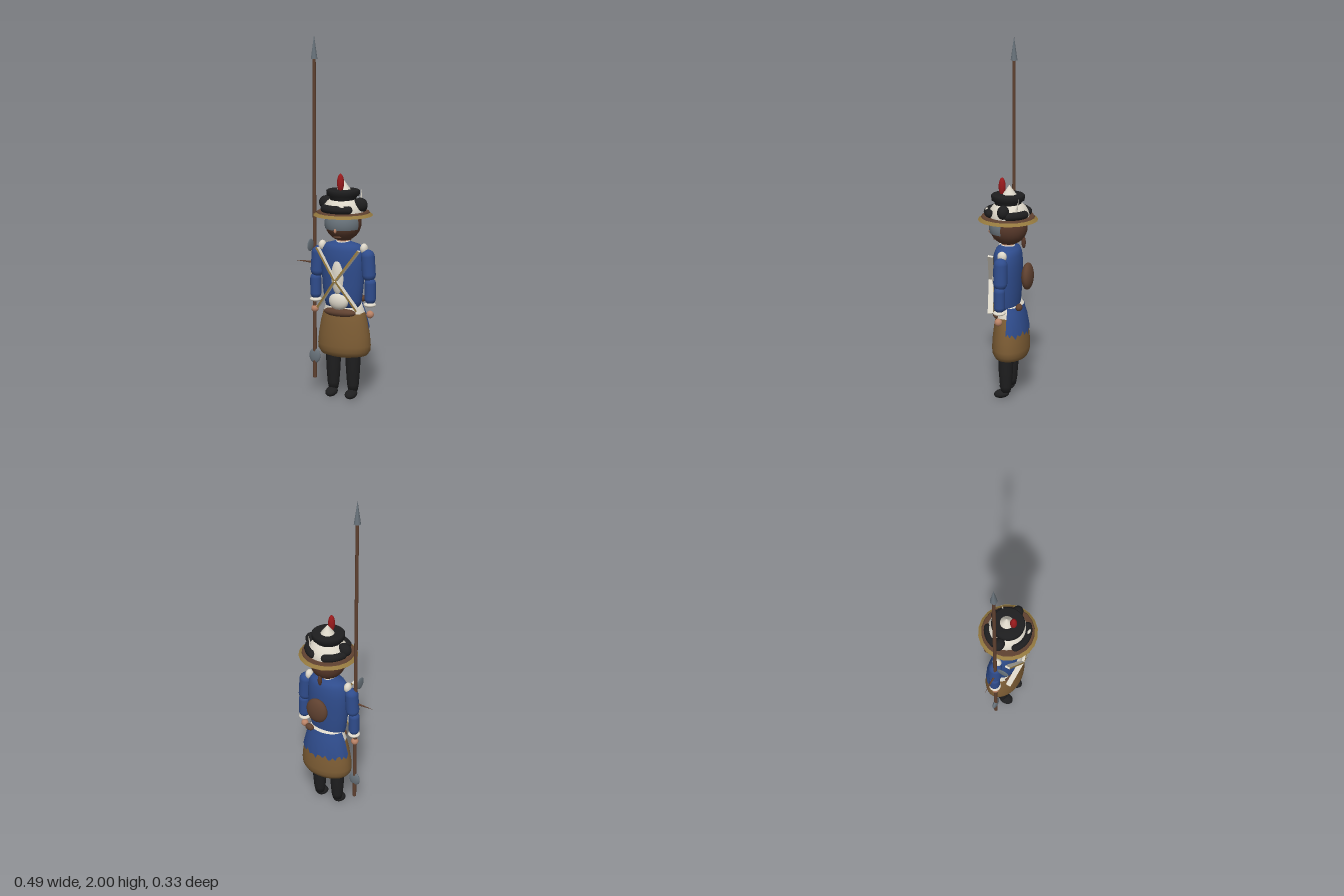
import * as THREE from 'three';

const mat = (name, color, side = THREE.FrontSide) => {
  const m = new THREE.MeshStandardMaterial({ color, side });
  m.name = name;
  return m;
};

export function createModel() {
  const blue = mat('coat blue', 0x2f4c8c, THREE.DoubleSide);
  const tan = mat('skirt tan', 0x7c5c34);
  const skin = mat('face brown', 0x553729);
  const black = mat('black', 0x1e1e1f);
  const white = mat('off white', 0xdcd6c8);
  const gold = mat('straw gold', 0x94793f, THREE.DoubleSide);
  const red = mat('plume red', 0x981a1c);
  const steel = mat('steel', 0x68727a);
  const wood = mat('wood brown', 0x5f4130);
  const peach = mat('hand peach', 0xb98266);

  const model = new THREE.Group();
  model.name = 'pikeman';
  const body = new THREE.Group();
  body.name = 'body';
  body.position.x = 0.042;
  model.add(body);

  // Helpers
  const add = (name, geo, material, x = 0, y = 0, z = 0, parent = body) => {
    const m = new THREE.Mesh(geo, material);
    m.name = name;
    m.position.set(x, y, z);
    parent.add(m);
    return m;
  };
  const blob = (name, material, x, y, z, rx, ry, rz, parent = body) =>
    add(name, new THREE.SphereGeometry(1, 24, 16).scale(rx, ry, rz), material, x, y, z, parent);
  const lathe = (pts, zScale = 1, seg = 32, start = 0, len = Math.PI * 2) =>
    new THREE.LatheGeometry(pts.map(p => new THREE.Vector2(p[0], p[1])), seg, start, len).scale(1, 1, zScale);

  // Legs, shoes, arms, mirrored
  const legProfile = [[0, 0.04], [0.026, 0.045], [0.033, 0.08], [0.04, 0.17], [0.043, 0.27], [0.043, 0.42], [0, 0.44]];
  const capsule = (r, h) => new THREE.CapsuleGeometry(r, h, 6, 18);
  for (const s of [-1, 1]) {
    add('leg', lathe(legProfile, 1, 20), black, s * 0.06, 0, -0.003);
    const shoe = blob('shoe', black, s * 0.06, 0.03, 0.022, 0.033, 0.024, 0.044);
    shoe.rotation.x = 0.2;
    const upper = add('upperArm', capsule(0.038, 0.1), blue, s * 0.153, 0.762, 0.002);
    upper.rotation.z = s * 0.07;
    add('forearm', capsule(0.031, 0.085), blue, s * 0.166, 0.622, 0.004);
    blob('cuff', white, s * 0.165, 0.545, 0.006, 0.034, 0.013, 0.034);
    blob('hand', peach, s * 0.168, 0.492, 0.01, 0.021, 0.021, 0.021);
    blob('epaulette', white, s * 0.126, 0.852, 0, 0.021, 0.029, 0.026);
  }

  // Skirt with a white waist
  const z0 = -0.018;
  add('skirt', lathe([[0, 0.245], [0.1, 0.24], [0.135, 0.25], [0.152, 0.275], [0.155, 0.305], [0.15, 0.36],
    [0.138, 0.43], [0.122, 0.49], [0.108, 0.512]], 0.66), tan, 0, 0, z0);
  add('waist', lathe([[0.122, 0.488], [0.112, 0.515], [0.1, 0.55], [0, 0.57]], 0.68), white, 0, 0, z0);

  // Coat tails wrapping the back, with a ragged hem
  const rows = [[0.146, 0.4], [0.14, 0.435], [0.126, 0.49], [0.113, 0.52], [0.102, 0.55]];
  const tails = lathe(rows, 0.68, 28, Math.PI * 0.52, Math.PI * 0.96);
  const tp = tails.attributes.position;
  for (let i = 0; i <= 28; i++) {
    tp.setY(i * rows.length, 0.4 + 0.014 * Math.sin(i * 2.3) + 0.008 * Math.sin(i * 0.9));
  }
  tails.computeVertexNormals();
  add('coatTails', tails, blue, 0, 0, z0);

  // Torso and collar
  add('torso', lathe([[0, 0.52], [0.1, 0.525], [0.11, 0.56], [0.12, 0.64], [0.126, 0.73], [0.126, 0.79],
    [0.119, 0.84], [0.1, 0.87], [0.05, 0.885], [0, 0.887]], 0.62), blue);
  add('neck', new THREE.CylinderGeometry(0.032, 0.035, 0.06, 20), peach, 0, 0.89, 0);
  blob('collar', white, 0, 0.882, 0, 0.04, 0.013, 0.038);

  // Shirt front, belly and waist pouches
  blob('shirtFront', white, 0, 0.7, 0.062, 0.04, 0.105, 0.028);
  blob('belly', white, 0, 0.56, 0.055, 0.058, 0.05, 0.034);
  blob('frontPouch', wood, 0, 0.495, 0.042, 0.096, 0.027, 0.036);
  blob('backPouch', wood, 0.075, 0.555, -0.082, 0.027, 0.02, 0.018);

  // Crossed straps, bending outward over the chest
  const strap = (a, b) => {
    const d = b.clone().sub(a);
    const m = add('crossStrap', new THREE.BoxGeometry(0.011, d.length(), 0.03),
      [white, white, white, white, gold, gold]);
    m.position.copy(a).add(b).multiplyScalar(0.5);
    m.quaternion.setFromUnitVectors(new THREE.Vector3(0, 1, 0), d.normalize());
  };
  const V = (x, y, z) => new THREE.Vector3(x, y, z);
  for (const s of [-1, 1]) {
    strap(V(s * 0.003, 0.68, 0.093), V(s * 0.125, 0.85, 0.065));
    strap(V(s * 0.118, 0.52, 0.068), V(s * 0.003, 0.68, 0.093));
  }

  // Round shield carried on the back
  blob('backShield', wood, 0.005, 0.715, -0.112, 0.066, 0.076, 0.032);

  // Head, eye band, nose, mouth and braid
  blob('head', skin, 0, 0.985, -0.003, 0.099, 0.097, 0.104);
  add('eyeBand', new THREE.SphereGeometry(1, 28, 8, Math.PI * 0.06, Math.PI * 0.88, 1.13, 0.72)
    .scale(0.102, 0.1, 0.107), steel, 0, 0.985, -0.003);
  blob('nose', peach, 0, 0.955, 0.1, 0.007, 0.013, 0.01);
  blob('mouth', wood, 0, 0.917, 0.073, 0.025, 0.006, 0.008);
  blob('braid', skin, 0, 0.905, -0.088, 0.012, 0.033, 0.012);

  // Hat: straw brim, wooden inner ring, white dome, black cap
  add('hatBrim', new THREE.CylinderGeometry(0.143, 0.164, 0.017, 20, 1, true), gold, 0, 1.038, 0);
  add('brimUnderside', new THREE.RingGeometry(0.09, 0.164, 20).rotateX(Math.PI / 2), gold, 0, 1.031, 0);
  add('brimTop', new THREE.CylinderGeometry(0.143, 0.147, 0.006, 20), wood, 0, 1.048, 0);
  add('hatDome', new THREE.SphereGeometry(1, 28, 10, 0, Math.PI * 2, 0, Math.PI / 2)
    .scale(0.115, 0.09, 0.112), white, 0, 1.05, -0.005);
  add('hatCap', lathe([[0.06, 1.09], [0.07, 1.1], [0.075, 1.135], [0.09, 1.14], [0.092, 1.165], [0.086, 1.17], [0, 1.172]], 1, 28), black);
  for (const s of [-1, 1]) {
    blob('sideTuft', black, s * 0.103, 1.093, 0, 0.041, 0.038, 0.032);
  }
  // Rolled flaps around the dome: [centre angle, span]
  for (const [c, span] of [[1.57, 1.4], [3.85, 0.95], [5.57, 0.95]]) {
    const arc = new THREE.TorusGeometry(0.11, 0.022, 10, 16, span)
      .rotateZ(c - span / 2).rotateX(Math.PI / 2);
    add('hatFlap', arc, black, 0, 1.072, 0);
    for (const e of [-1, 1]) {
      const a = c + e * span / 2;
      blob('flapEnd', black, 0.11 * Math.cos(a), 1.072, 0.11 * Math.sin(a), 0.022, 0.022, 0.022);
    }
  }
  blob('hatLeaf', white, 0.038, 1.088, 0.108, 0.018, 0.009, 0.008);
  const quill = add('hatQuill', new THREE.ConeGeometry(0.008, 0.09, 8), white, 0.075, 1.125, -0.072);
  quill.rotation.x = -0.2;
  add('hatPeak', new THREE.ConeGeometry(0.04, 0.055, 20), white, 0, 1.195, -0.008);
  blob('plume', red, 0, 1.21, 0.033, 0.019, 0.05, 0.019);

  // Pike with point, side spike, blade and lower disc
  const pike = new THREE.Group();
  pike.name = 'pike';
  pike.position.set(-0.127, 0, 0.011);
  model.add(pike);
  add('pikeShaft', new THREE.CylinderGeometry(0.009, 0.011, 1.79, 10), wood, 0, 0.99, 0, pike);
  add('pikePoint', new THREE.ConeGeometry(0.019, 0.13, 8), steel, 0, 1.935, 0, pike);
  const spike = add('pikeSpike', new THREE.ConeGeometry(0.008, 0.118, 10), wood, -0.058, 0.755, 0, pike);
  spike.rotation.z = Math.PI / 2;
  blob('pikeBlade', steel, 0, 0.86, 0.05, 0.006, 0.034, 0.036, pike);
  blob('pikeDisc', steel, 0, 0.22, 0, 0.034, 0.043, 0.013, pike);

  return model;
}
